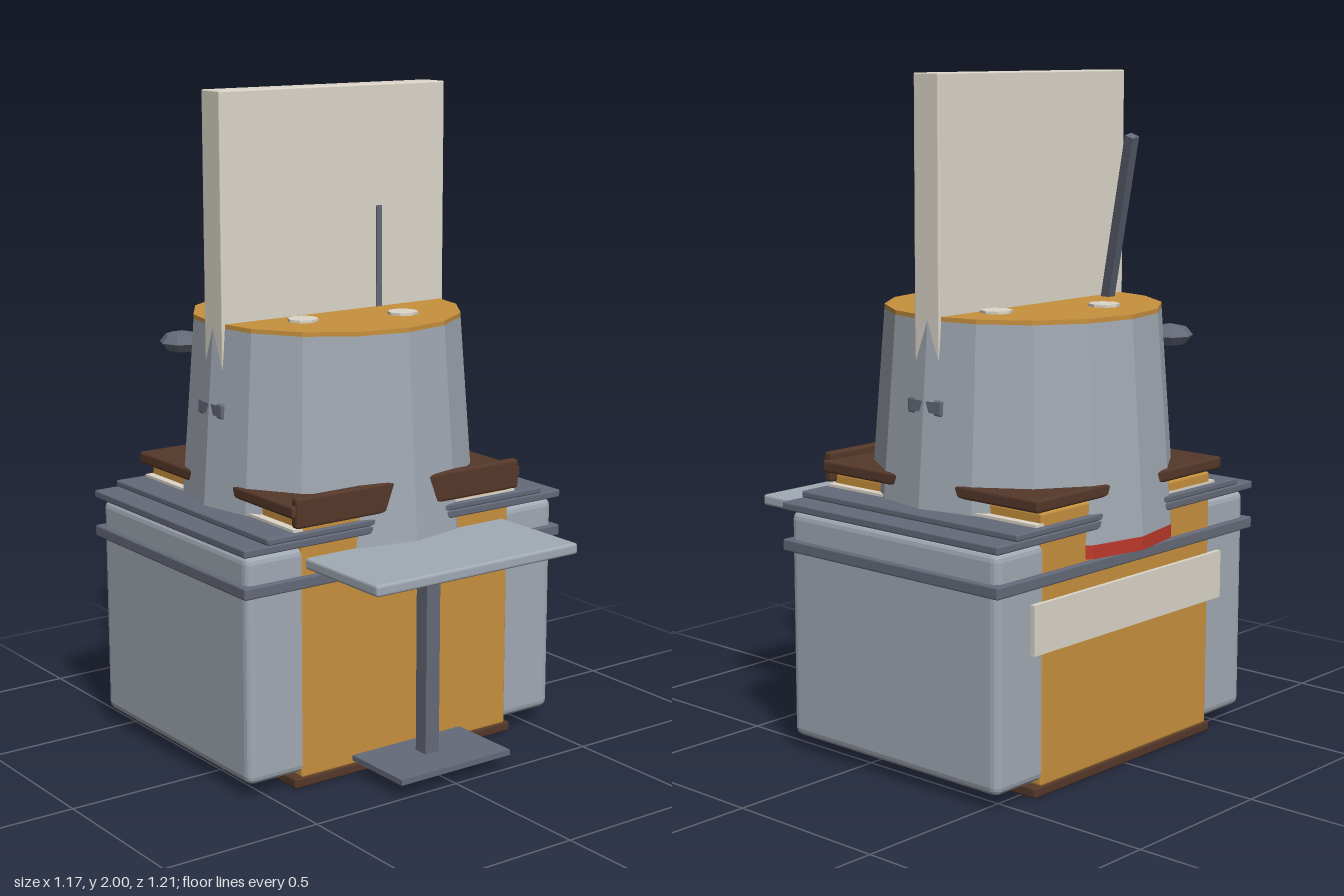
import * as THREE from 'three';
import { RoundedBoxGeometry } from 'three/addons/geometries/RoundedBoxGeometry.js';

const mat = (color) => new THREE.MeshStandardMaterial({ color, flatShading: true });

export function createModel() {
  const model = new THREE.Group();
  const grey = mat(0xa2aab4), slate = mat(0x646a78), orange = mat(0xc8913e);
  const cream = mat(0xddd7ca), brown = mat(0x55382a), red = mat(0xc0392b);
  const midZ = -0.15; // centre line of the tower

  const add = (name, geometry, material, x, y, z) => {
    const mesh = new THREE.Mesh(geometry, material);
    mesh.name = name;
    mesh.position.set(x, y, z);
    model.add(mesh);
    return mesh;
  };
  // Box given by its limits on each axis, optionally with rounded edges
  const box = (name, material, [x0, x1], [y0, y1], [z0, z1], r = 0) => {
    const size = [x1 - x0, y1 - y0, z1 - z0];
    const geometry = r ? new RoundedBoxGeometry(...size, 2, r) : new THREE.BoxGeometry(...size);
    return add(name, geometry, material, (x0 + x1) / 2, (y0 + y1) / 2, (z0 + z1) / 2);
  };
  const sym = (h) => [-h, h];
  const drum = (name, material, rTop, rBottom, y0, y1, sides, x = 0, z = midZ) =>
    add(name, new THREE.CylinderGeometry(rTop, rBottom, y1 - y0, sides), material, x, (y0 + y1) / 2, z);

  // Cabinet with its central core and base
  const depth = [-0.555, 0.26], wide = [-0.573, 0.275];
  box('cabinet', grey, sym(0.568), [0.045, 0.73], depth, 0.025);
  box('core', orange, sym(0.385), [0.03, 0.815], [-0.557, 0.262], 0.008);
  box('base', brown, sym(0.407), [0, 0.03], depth, 0.006);
  box('backPlate', cream, sym(0.43), [0.42, 0.565], [-0.57, -0.55]);

  // Bands and stacked slabs around the cabinet top
  box('lowerBand', slate, sym(0.585), [0.61, 0.645], wide, 0.005);
  box('topPlate', slate, sym(0.585), [0.733, 0.757], wide, 0.005);
  box('upperPlate', slate, sym(0.507), [0.757, 0.777], wide, 0.005);
  box('paleSlab', cream, sym(0.41), [0.765, 0.785], [-0.557, 0.262]);
  box('brownSlab', brown, sym(0.422), [0.82, 0.857], wide, 0.008);
  box('frontLip', brown, sym(0.41), [0.79, 0.88], [0.25, 0.28], 0.008);

  // Faceted tower with red ring and coloured lid
  drum('tower', grey, 0.41, 0.457, 0.69, 1.312, 16);
  drum('redRing', red, 0.457, 0.457, 0.65, 0.69, 16);
  drum('lid', orange, 0.41, 0.41, 1.312, 1.325, 16);
  for (const [x, z] of [[-0.1, -0.375], [0.225, -0.245], [-0.18, -0.017], [0.135, 0.055]])
    drum('lidButton', cream, 0.047, 0.047, 1.32, 1.333, 8, x, z);

  // Side handles, partly sunk into the tower's edges
  for (const s of [-1, 1]) {
    const x = s * 0.415;
    box('sideHandle', slate, [x - 0.011, x + 0.011], [1.052, 1.084], [-0.2, -0.1]);
    for (const z of [-0.2, -0.1])
      box('handleEnd', slate, [x - 0.011, x + 0.011], [1.045, 1.09], [z - 0.015, z + 0.015], 0.006);
  }

  // Upright board with a thin strip on its face
  box('board', cream, sym(0.41), [1.05, 2], [-0.195, -0.1], 0.004);
  box('boardStrip', slate, [0.15, 0.17], [1.32, 1.635], [-0.11, -0.096]);

  // Leaning lever behind the board
  const foot = new THREE.Vector3(-0.297, 1.3, -0.225), tip = new THREE.Vector3(-0.19, 1.815, -0.4);
  const along = tip.clone().sub(foot);
  const lever = add('lever', new THREE.BoxGeometry(0.03, along.length(), 0.03), slate, 0, 0, 0);
  lever.position.copy(foot).lerp(tip, 0.5);
  lever.quaternion.setFromUnitVectors(new THREE.Vector3(0, 1, 0), along.normalize());

  // Knob at the rear of the tower
  add('knob', new THREE.SphereGeometry(0.07, 8, 4), slate, -0.345, 1.22, -0.43).scale.y = 0.5;

  // Front tray on a post and foot plate
  box('tray', grey, sym(0.367), [0.662, 0.696], [0.24, 0.602], 0.008);
  box('trayPost', slate, sym(0.025), [0.05, 0.67], [0.338, 0.386]);
  box('footPlate', slate, sym(0.203), [0.043, 0.06], [0.25, 0.503]);

  return model;
}
